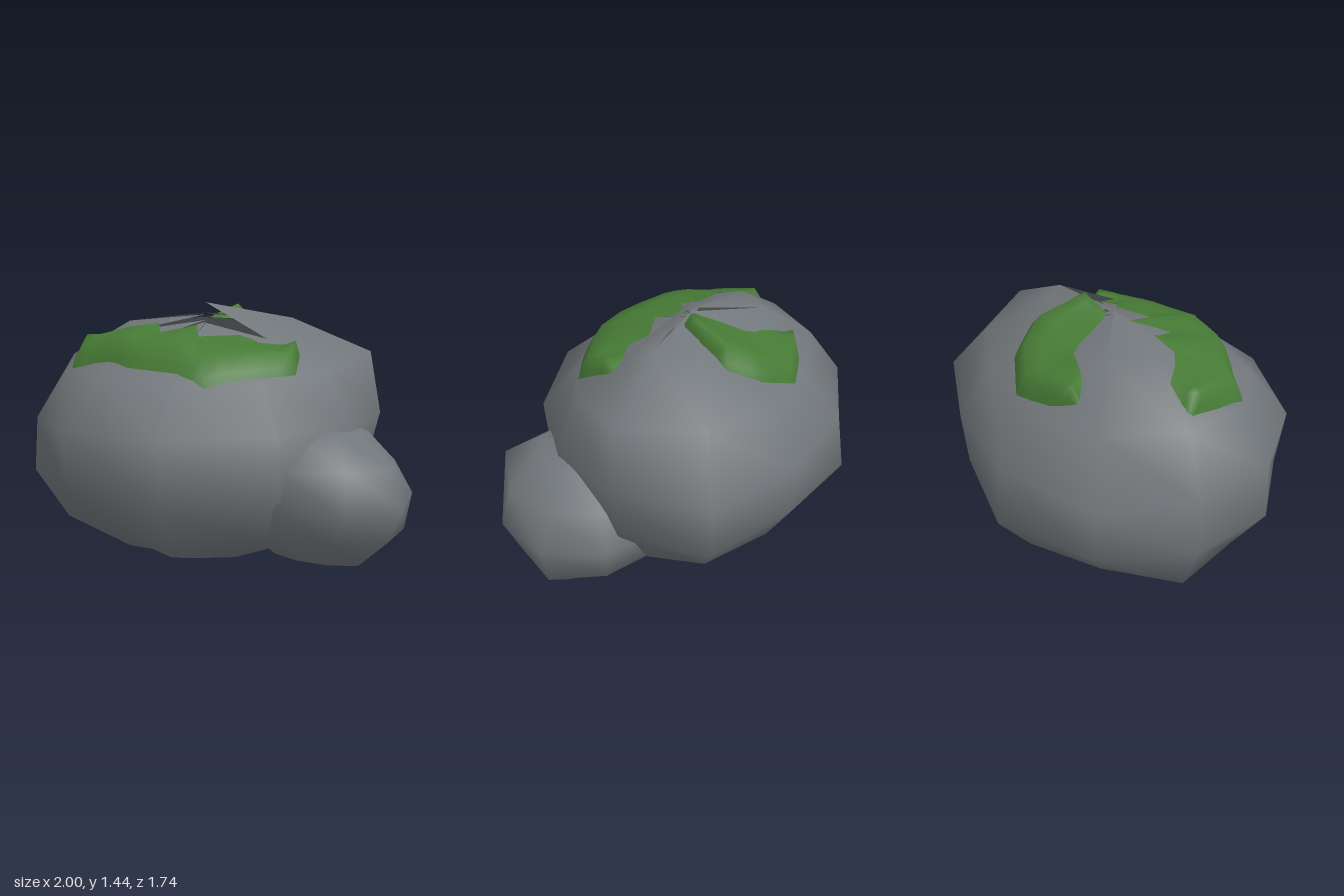
import * as THREE from 'three';

const stone = new THREE.MeshStandardMaterial({ color: 0x72777b, side: THREE.DoubleSide });
stone.name = 'grey stone';
const green = new THREE.MeshStandardMaterial({ color: 0x467a35, side: THREE.DoubleSide });
green.name = 'moss green';

function meshFrom(name, positions, index, material) {
  const g = new THREE.BufferGeometry();
  g.setAttribute('position', new THREE.Float32BufferAttribute(positions, 3));
  g.setIndex(index);
  g.computeVertexNormals();
  const mesh = new THREE.Mesh(g, material);
  mesh.name = name;
  return mesh;
}

// Coarse ellipsoid; each ring vertex is pushed in or out by its own factor.
// Every cap triangle has its own tip, which leaves small cracks at the poles.
function rock(name, [cx, cy, cz], [rx, ry, rz], rings, tops, bottoms) {
  const n = rings[0].length, pos = [], idx = [];
  rings.forEach((row, i) => {
    const polar = Math.PI * (i + 1) / (rings.length + 1);
    row.forEach((f, k) => {
      const a = 2 * Math.PI * k / n, s = Math.sin(polar) * f;
      pos.push(cx + rx * s * Math.cos(a), cy + ry * Math.cos(polar) * f, cz - rz * s * Math.sin(a));
    });
  });
  const last = (rings.length - 1) * n;
  for (let k = 0; k < n; k++) {
    const k1 = (k + 1) % n;
    for (let i = 0; i < last; i += n) {
      idx.push(i + k, i + n + k, i + n + k1, i + k, i + n + k1, i + k1);
    }
    const tip = pos.length / 3;
    pos.push(cx, tops[k], cz, cx, bottoms[k], cz);
    idx.push(tip, k, k1, tip + 1, last + k1, last + k);
  }
  return meshFrom(name, pos, idx, stone);
}

// Moss sheet draped on the boulder. Stations are [outerX, outerZ, innerX, innerZ].
function moss(name, boulder, stations) {
  const rows = [[0, -0.03], [0.08, 0.03], [0.22, 0.075], [0.45, 0.05], [0.7, 0.025], [1, 0.004]];
  const ray = new THREE.Raycaster(), down = new THREE.Vector3(0, -1, 0);
  const steps = 3, count = (stations.length - 1) * steps, pos = [], idx = [];
  for (let s = 0; s <= count; s++) {
    const i = Math.min(Math.floor(s / steps), stations.length - 2), u = s / steps - i;
    const [ox, oz, ix, iz] = stations[i].map((v, j) => v + (stations[i + 1][j] - v) * u);
    const end = s === 0 || s === count;
    for (const [t, lift] of rows) {
      const x = ox + (ix - ox) * t, z = oz + (iz - oz) * t;
      ray.set(new THREE.Vector3(x, 3, z), down);
      const hit = ray.intersectObject(boulder)[0];
      pos.push(x, (hit ? hit.point.y : 1.1) + (end ? -0.02 : lift), z);
    }
  }
  const m = rows.length;
  for (let s = 0; s < count; s++) {
    for (let r = 0; r < m - 1; r++) {
      const a = s * m + r, b = a + m;
      idx.push(a, b, b + 1, a, b + 1, a + 1);
    }
  }
  return meshFrom(name, pos, idx, green);
}

export function createModel() {
  const group = new THREE.Group();
  group.name = 'mossyBoulders';

  // Large boulder
  const boulder = rock('largeBoulder', [-0.09, 0.70, -0.04], [1.02, 0.69, 0.85], [
    [1.06, 0.96, 0.9, 0.9, 1.0, 1.02, 0.95, 0.91, 0.89, 0.88, 0.9],
    [1.12, 1.0, 0.93, 0.88, 0.98, 1.02, 0.94, 0.94, 0.93, 0.9, 0.96],
    [0.965, 1.07, 0.94, 0.95, 1.02, 0.93, 0.93, 1.0, 1.11, 0.96, 0.9],
    [0.9, 1.0, 0.92, 1.01, 0.98, 0.94, 0.955, 0.97, 1.04, 0.94, 0.89],
    [0.92, 0.95, 0.92, 0.975, 0.94, 1.03, 0.98, 0.91, 1.04, 0.95, 0.93],
    [0.93, 0.95, 0.91, 0.94, 0.95, 1.06, 1.0, 0.93, 0.95, 0.95, 0.95],
  ],
  [1.385, 1.37, 1.365, 1.365, 1.385, 1.375, 1.345, 1.335, 1.33, 1.33, 1.44],
  [0.05, 0.055, 0.06, 0.06, 0.05, 0.0, 0.045, 0.05, 0.05, 0.05, 0.045]);
  group.add(boulder);

  // Small boulder leaning on its front left
  group.add(rock('smallBoulder', [0.52, 0.49, 0.28], [0.48, 0.37, 0.46], [
    [1.0, 1.0, 1.0, 1.0, 1.02, 1.05, 1.05, 1.08, 1.0],
    [0.92, 0.95, 1.0, 1.0, 0.95, 0.93, 1.02, 1.17, 1.02],
    [1.0, 1.0, 1.0, 1.0, 0.9, 0.9, 0.95, 1.02, 1.02],
    [1.08, 1.0, 1.0, 1.0, 0.93, 0.95, 0.92, 0.92, 1.0],
    [1.12, 1.0, 1.0, 1.0, 1.0, 1.0, 0.97, 1.0, 1.08],
  ],
  [0.85, 0.85, 0.86, 0.86, 0.86, 0.86, 0.86, 0.85, 0.85],
  [0.12, 0.12, 0.12, 0.12, 0.12, 0.115, 0.12, 0.125, 0.12]));

  // Moss: wide crescent in front, smaller hook behind
  group.add(moss('frontMoss', boulder, [
    [-0.80, -0.19, -0.67, -0.20], [-0.80, 0.0, -0.58, -0.08], [-0.79, 0.19, -0.50, -0.01],
    [-0.64, 0.28, -0.34, 0.0], [-0.44, 0.43, -0.31, 0.14], [-0.25, 0.52, -0.13, 0.02],
    [-0.05, 0.59, -0.11, 0.20], [0.17, 0.51, 0.10, 0.13], [0.39, 0.40, 0.20, 0.20],
    [0.42, 0.17, 0.36, 0.16],
  ]));
  group.add(moss('backMoss', boulder, [
    [0.10, -0.05, -0.05, -0.05], [0.17, -0.20, -0.08, -0.10], [0.24, -0.35, -0.11, -0.20],
    [0.15, -0.50, -0.13, -0.29], [-0.05, -0.62, -0.17, -0.35], [-0.27, -0.57, -0.25, -0.38],
    [-0.41, -0.49, -0.36, -0.43],
  ]));
  return group;
}
